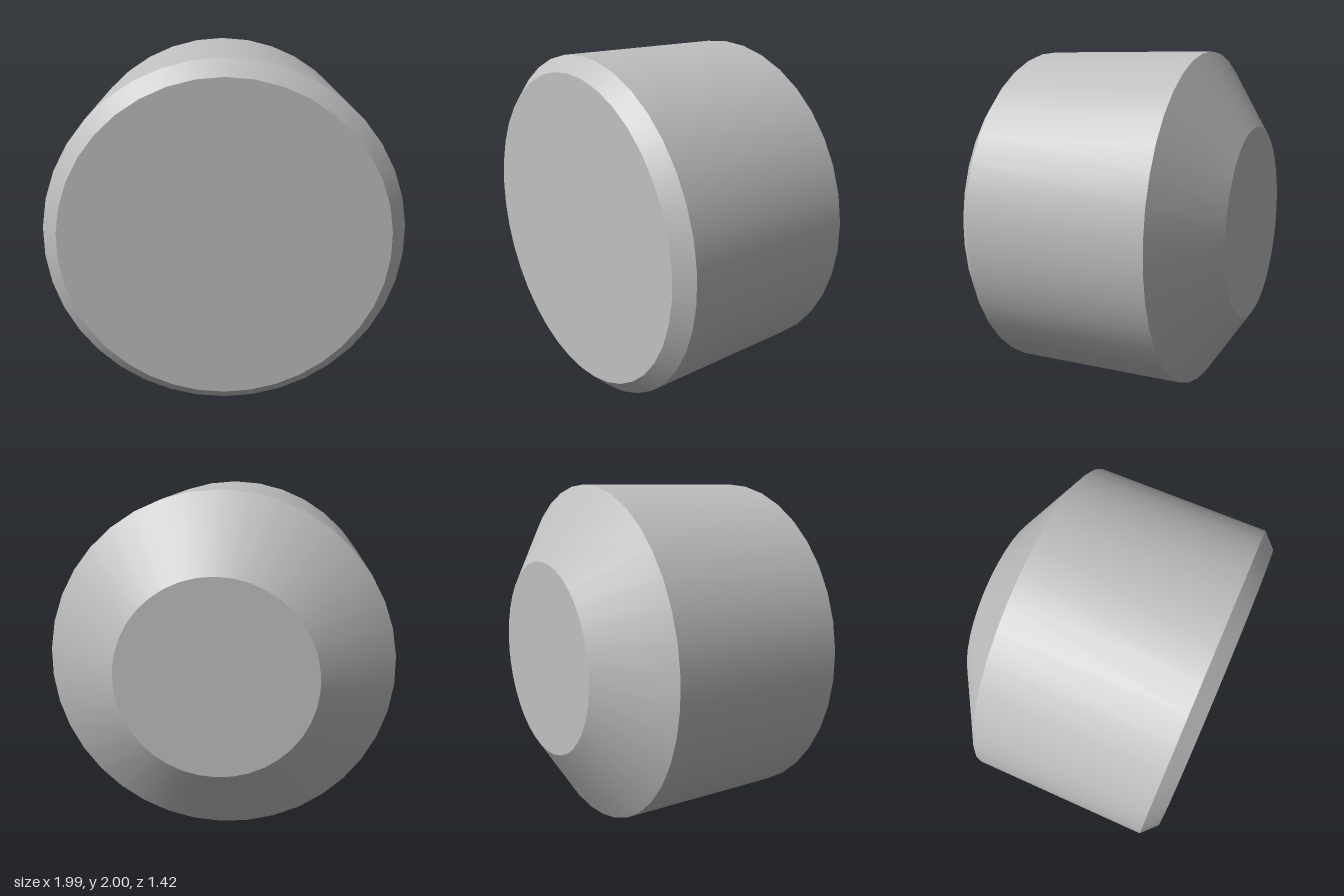
import * as THREE from 'three';

export function createModel() {
  const group = new THREE.Group();
  const grey = new THREE.MeshStandardMaterial({ color: 0xc0c0c0 });
  grey.name = 'grey';
  const sides = 38;

  const add = (name, geometry) => {
    const mesh = new THREE.Mesh(geometry, grey);
    mesh.name = name;
    mesh.position.y = 1;
    group.add(mesh);
  };

  // Open ring of wall between two z positions, smooth around the axis
  const wall = (name, zBack, rBack, zFront, rFront) => {
    const g = new THREE.CylinderGeometry(rFront, rBack, zFront - zBack, sides, 1, true);
    add(name, g.rotateX(Math.PI / 2).translate(0, 0, (zBack + zFront) / 2));
  };

  // Flat end disc, facing forward or backward
  const disc = (name, z, r, facing) => {
    const g = new THREE.CircleGeometry(r, sides, Math.PI / 2);
    if (facing < 0) g.rotateY(Math.PI);
    add(name, g.translate(0, 0, z));
  };

  disc('frontFace', 0.712, 0.913, 1);
  wall('frontChamfer', 0.627, 1, 0.712, 0.913);
  wall('barrel', -0.43, 1, 0.627, 1);
  wall('backTaper', -0.712, 0.57, -0.43, 1);
  disc('backFace', -0.712, 0.57, -1);

  return group;
}
